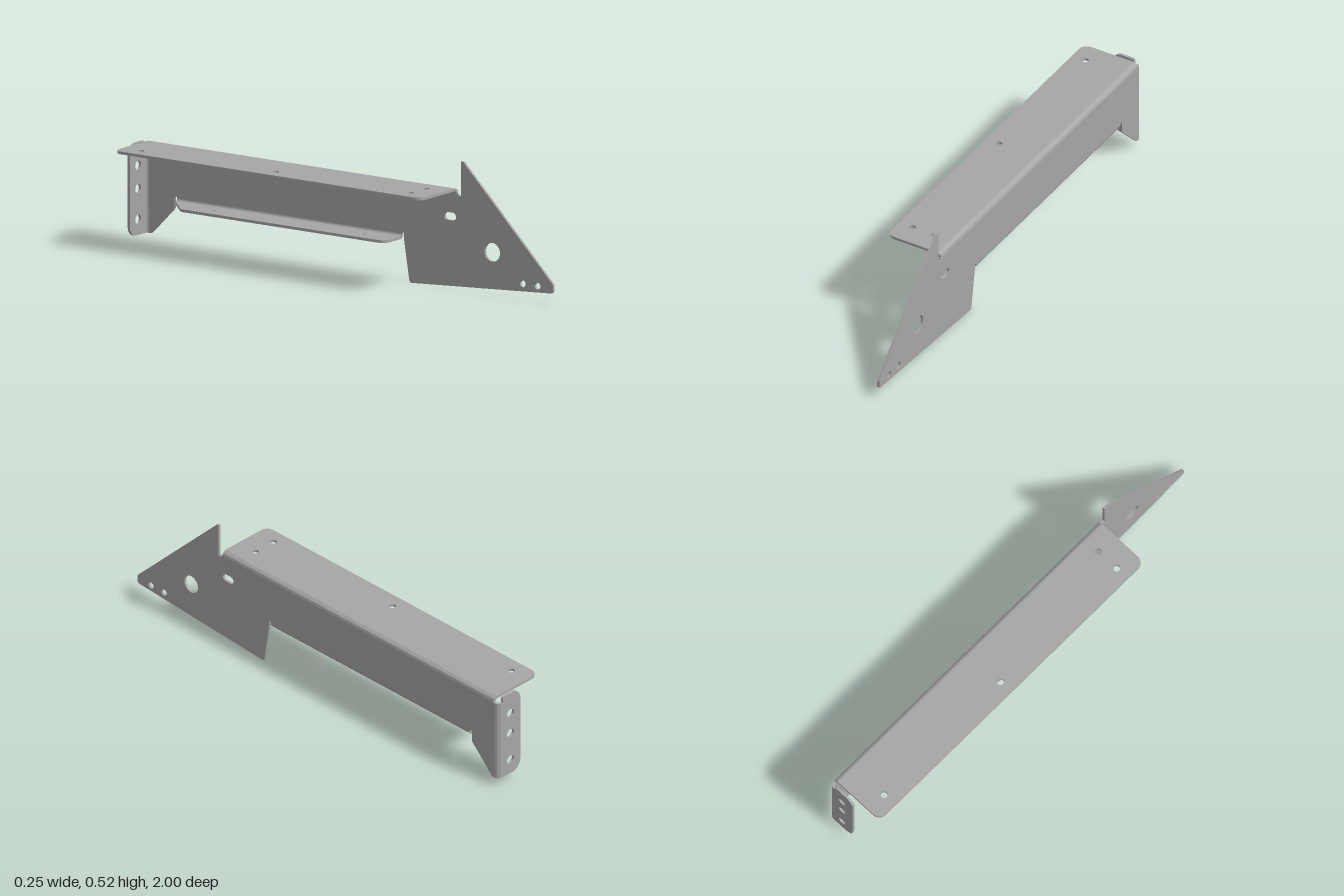
import * as THREE from 'three';
import { toCreasedNormals } from 'three/addons/utils/BufferGeometryUtils.js';

const T = 0.011;            // sheet thickness
const R = 0.022;            // outer bend radius
const OUT = 0.124;          // outer face of the web
const BX = OUT - R;         // bend centre line in x

// Closed outline from [u, v, cornerRadius] points
function outline(points) {
  const shape = new THREE.Shape();
  const n = points.length;
  points.forEach(([u, v, r = 0], i) => {
    const p = new THREE.Vector2(u, v);
    const a = new THREE.Vector2(...points[(i + n - 1) % n]).sub(p).normalize();
    const b = new THREE.Vector2(...points[(i + 1) % n]).sub(p).normalize();
    const cut = r / Math.tan(Math.acos(a.dot(b)) / 2);
    const at = (d, k) => p.clone().addScaledVector(d, cut * k);
    const s = at(a, 1);
    if (i === 0) shape.moveTo(s.x, s.y); else shape.lineTo(s.x, s.y);
    if (r > 0) {
      const c1 = at(a, 0.45), c2 = at(b, 0.45), e = at(b, 1);
      shape.bezierCurveTo(c1.x, c1.y, c2.x, c2.y, e.x, e.y);
    }
  });
  shape.closePath();
  return shape;
}

// Round hole, or a slot when half > 0
function hole(shape, u, v, r, half = 0) {
  const path = new THREE.Path();
  path.absarc(u + half, v, r, -Math.PI / 2, Math.PI / 2, false);
  path.absarc(u - half, v, r, Math.PI / 2, Math.PI * 1.5, false);
  shape.holes.push(path);
}

// Quarter ring cross-section of a bend
function quarter(u, v, start) {
  const s = new THREE.Shape();
  s.absarc(u, v, R, start, start + Math.PI / 2, false);
  s.absarc(u, v, R - T, start + Math.PI / 2, start, true);
  s.closePath();
  return s;
}

function extrude(shape, depth) {
  const g = new THREE.ExtrudeGeometry(shape, { depth, bevelEnabled: false, curveSegments: 12 });
  return toCreasedNormals(g, 0.5);
}

export function createModel() {
  const model = new THREE.Group();
  model.name = 'bracket';
  const steel = new THREE.MeshStandardMaterial({ color: 0xa6a6a6 });
  steel.name = 'grey steel';
  const add = (name, geometry) => {
    const mesh = new THREE.Mesh(geometry, steel);
    mesh.name = name;
    model.add(mesh);
  };

  // Upright web with pointed front, outlined in (z, y)
  const web = outline([
    [1.0, 0.046, 0.01], [1.0, 0.082, 0.012], [0.56, 0.522, 0.008], [0.55, 0.522, 0.003],
    [0.55, 0.382], [0.535, 0.382], [0.535, 0.389], [-0.972, 0.389], [-0.978, 0.387],
    [-0.978, 0.037], [-0.968, 0.037, 0.006], [-0.854, 0.152, 0.006], [-0.854, 0.2, 0.005],
    [-0.841, 0.2, 0.005], [-0.841, 0.194], [0.26, 0.194], [0.26, 0.2, 0.005],
    [0.271, 0.2, 0.005], [0.271, 0.17], [0.298, 0.0, 0.012],
  ].map(([z, y, r]) => [-z, y, r]));
  hole(web, -0.703, 0.175, 0.038);
  hole(web, -0.497, 0.294, 0.016, 0.013);
  hole(web, -0.925, 0.067, 0.014);
  hole(web, -0.853, 0.067, 0.014);
  add('web', extrude(web, T).rotateY(Math.PI / 2).translate(OUT - T, 0, 0));

  // Top flange and its bend
  const top = outline([
    [-0.125, -0.528, 0.035], [BX, -0.528], [BX, 0.975], [-0.125, 0.975, 0.035],
  ]);
  [[-0.065, -0.886], [-0.065, -0.227], [-0.065, 0.434], [0.036, 0.434]]
    .forEach(([x, z]) => hole(top, x, -z, 0.014));
  add('topFlange', extrude(top, T).rotateX(-Math.PI / 2).translate(0, 0.4, 0));
  add('topBend', extrude(quarter(BX, 0.389, 0), 1.503).translate(0, 0, -0.975));

  // Bottom flange, chamfered at the back, and its bend
  const bottom = outline([
    [0, -0.26, 0.035], [BX, -0.26], [BX, 0.841], [0, 0.74, 0.02],
  ]);
  [-0.62, 0.115].forEach((z) => hole(bottom, 0.058, -z, 0.007));
  add('bottomFlange', extrude(bottom, T).rotateX(-Math.PI / 2).translate(0, 0.172, 0));
  add('bottomBend', extrude(quarter(BX, 0.194, Math.PI * 1.5), 1.101).translate(0, 0, -0.841));

  // Back mounting flange and its bend
  const back = outline([
    [0, 0.037, 0.042], [BX, 0.037], [BX, 0.387], [0.098, 0.387], [0.098, 0.411, 0.008], [0, 0.411, 0.042],
  ]);
  [0.1, 0.224, 0.318].forEach((y) => hole(back, 0.055, y, 0.019));
  add('backFlange', extrude(back, T).translate(0, 0, -1));
  add('backBend', extrude(quarter(BX, 0.978, 0), 0.35).rotateX(-Math.PI / 2).translate(0, 0.037, 0));

  return model;
}
